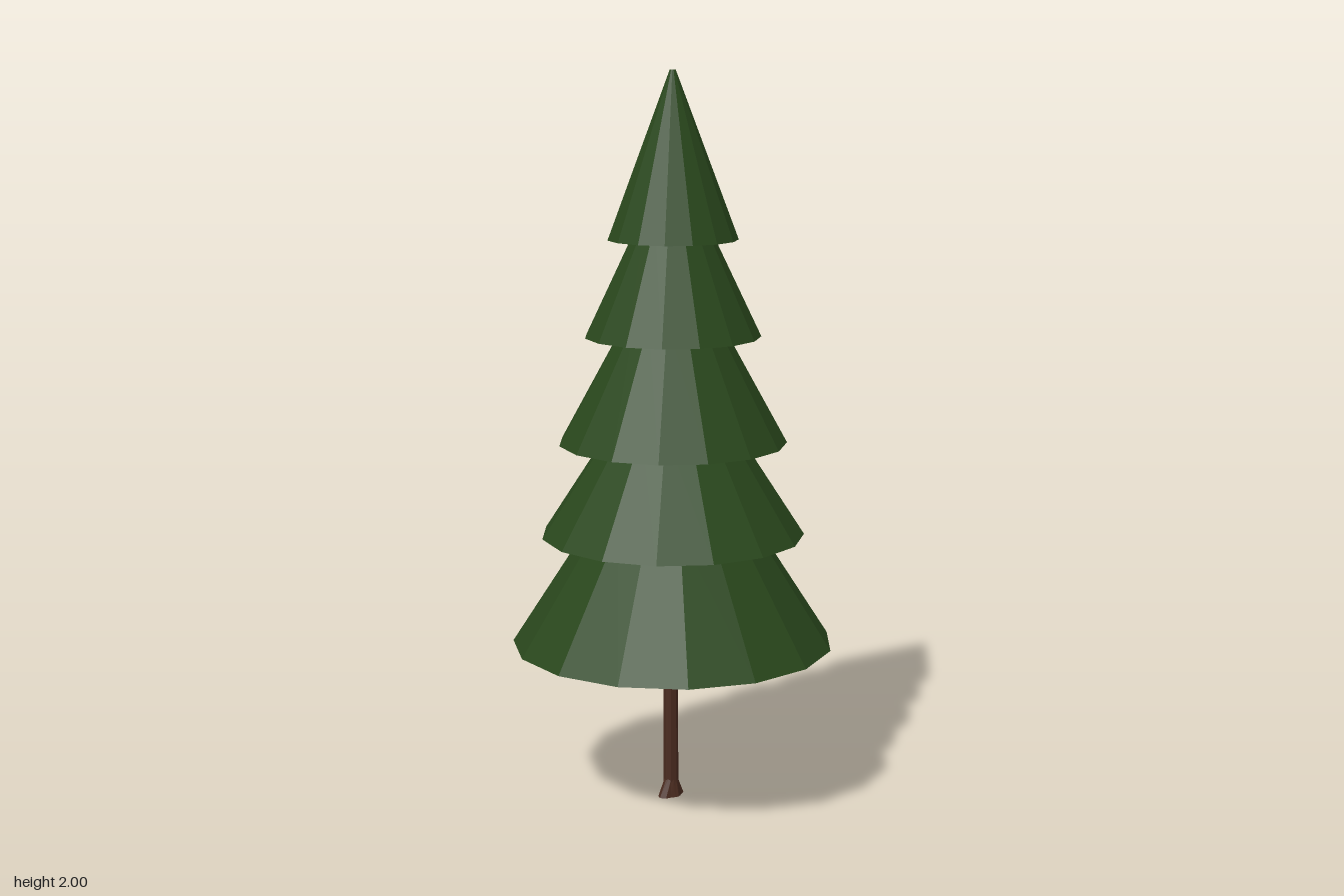
import * as THREE from 'three';

const SIDES = 15;
const CENTER_Z = -0.007;

export function createModel() {
  const tree = new THREE.Group();
  tree.name = 'pineTree';
  const leaf = new THREE.MeshStandardMaterial({ color: 0x29471c, flatShading: true, side: THREE.DoubleSide });
  const bark = new THREE.MeshStandardMaterial({ color: 0x4a2b1f, flatShading: true });

  // Foliage tiers: rim radius, rim height, neck radius, neck height, start angle
  const tiers = [
    [0.44, 0.445, 0.212, 0.80, 0],
    [0.359, 0.75, 0.158, 1.06, Math.PI],
    [0.31, 1.005, 0.123, 1.345, Math.PI],
    [0.238, 1.295, 0.09, 1.605, Math.PI],
    [0.176, 1.555, 0.008, 2.0, Math.PI],
  ];
  tiers.forEach(([rim, rimY, neck, neckY, start], i) => {
    // Slightly hollow underside, rim, sloping skirt, small cap
    const profile = [[0, rimY + 0.05], [rim, rimY], [neck, neckY], [0, neckY]]
      .map(([r, y]) => new THREE.Vector2(r, y));
    const tier = new THREE.Mesh(new THREE.LatheGeometry(profile, SIDES, start), leaf);
    tier.name = 'foliageTier' + (i + 1);
    tier.position.z = CENTER_Z;
    tree.add(tier);
  });

  // Trunk
  const trunk = new THREE.Mesh(new THREE.CylinderGeometry(0.019, 0.021, 0.56, 8), bark);
  trunk.name = 'trunk';
  trunk.position.y = 0.28;
  tree.add(trunk);

  // Root flare: the lower ring is pulled out into lobes to the front, back and left
  const flare = new THREE.CylinderGeometry(0.019, 0.021, 0.05, 16);
  flare.translate(0, 0.025, 0);
  const p = flare.attributes.position;
  for (let i = 0; i < p.count; i++) {
    if (p.getY(i) > 0.001) continue;
    const x = p.getX(i), z = p.getZ(i), r = Math.hypot(x, z);
    if (r < 0.001) continue;
    const s = x / r, c = z / r;
    const reach = 1 + 1.15 * Math.abs(c) ** 4 + 0.45 * Math.max(0, s) ** 4;
    p.setXYZ(i, x * reach, 0, z * reach);
  }
  flare.computeVertexNormals();
  const roots = new THREE.Mesh(flare, bark);
  roots.name = 'rootFlare';
  tree.add(roots);

  return tree;
}
